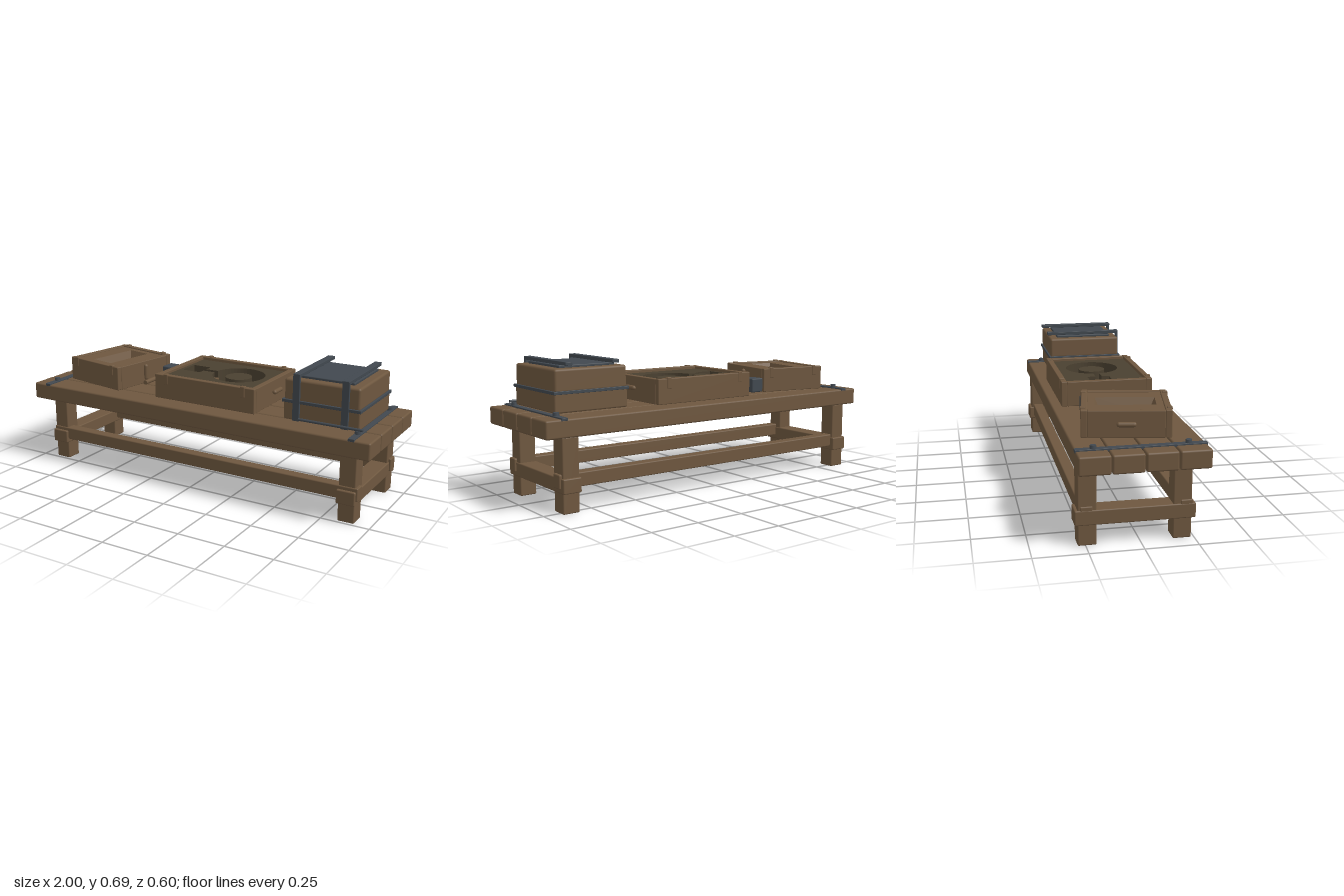
import * as THREE from 'three';
import { RoundedBoxGeometry } from 'three/addons/geometries/RoundedBoxGeometry.js';

const mat = (name, color, side = THREE.FrontSide) => {
  const m = new THREE.MeshStandardMaterial({ color, side });
  m.name = name;
  return m;
};

export function createModel() {
  const wood = mat('wood', 0x6e573f);
  const pocketWood = wood;
  const sand = mat('packed sand', 0x4a4030);
  const iron = mat('iron', 0x41484f);
  const model = new THREE.Group();
  model.name = 'castingBench';

  const add = (parent, name, geo, m, x = 0, y = 0, z = 0) => {
    const mesh = new THREE.Mesh(geo, m);
    mesh.name = name;
    mesh.position.set(x, y, z);
    parent.add(mesh);
    return mesh;
  };
  // box from its extents, with softened edges
  const box = (parent, name, m, [x0, x1], [y0, y1], [z0, z1], r = 0.006) => {
    const w = x1 - x0, h = y1 - y0, d = z1 - z0;
    const geo = new RoundedBoxGeometry(w, h, d, 2, Math.min(r, Math.min(w, h, d) * 0.3));
    return add(parent, name, geo, m, (x0 + x1) / 2, (y0 + y1) / 2, (z0 + z1) / 2);
  };
  const group = (name, x = 0, y = 0, z = 0) => {
    const g = new THREE.Group();
    g.name = name;
    g.position.set(x, y, z);
    model.add(g);
    return g;
  };
  const handle = (parent, x, y, z, axis, length = 0.09, r = 0.012) => {
    const h = add(parent, 'handle', new THREE.CapsuleGeometry(r, length - 2 * r, 4, 10), wood, x, y, z);
    if (axis === 'z') h.rotation.x = Math.PI / 2;
  };
  // flat slab with holes, lying between y0 and y1
  const slab = (parent, name, m, outline, holes, y0, y1) => {
    const shape = new THREE.Shape(outline);
    shape.holes = holes.map((h) => new THREE.Path(h));
    const geo = new THREE.ExtrudeGeometry(shape, { depth: y1 - y0, bevelEnabled: false });
    geo.rotateX(-Math.PI / 2);
    return add(parent, name, geo, m, 0, y0, 0);
  };
  const rect = (x0, x1, y0, y1) =>
    [[x0, y0], [x1, y0], [x1, y1], [x0, y1]].map((p) => new THREE.Vector2(...p));

  // bench
  const bench = group('bench');
  for (const z of [0.227, 0.077, -0.073, -0.222])
    box(bench, 'plank', wood, [-1, 1], [0.355, 0.443], [z - 0.0725, z + 0.0725], 0.009);
  for (const s of [-1, 1]) {
    const x = s * 0.873;
    for (const z of [0.193, -0.243])
      box(bench, 'leg', wood, [x - 0.043, x + 0.043], [0, 0.358], [z - 0.043, z + 0.043]);
    box(bench, 'crossStretcher', wood, [x - 0.048, x + 0.048], [0.097, 0.168], [-0.3, 0.255]);
    // iron strap with bolts across each end
    box(bench, 'endStrap', iron, [s * 0.905 - 0.016, s * 0.905 + 0.016], [0.436, 0.45], [-0.297, 0.3], 0.002);
    for (const z of [0.216, -0.214])
      add(bench, 'bolt', new THREE.CylinderGeometry(0.014, 0.016, 0.017, 12), iron, s * 0.905, 0.457, z);
  }
  for (const z of [0.212, -0.247])
    box(bench, 'longStretcher', wood, [-0.92, 0.93], [0.118, 0.186], [z - 0.029, z + 0.029]);

  // four-walled mould frame, standing on y = 0 of its group
  const frame = (g, hw, hd, studX) => {
    const H = 0.128, t = 0.03;
    for (const s of [-1, 1]) {
      const z = s * (hd - t / 2), x = s * (hw - t / 2);
      box(g, 'frameRail', wood, [-hw, hw], [0, H], [z - t / 2, z + t / 2], 0.004);
      box(g, 'frameSide', wood, [x - t / 2, x + t / 2], [0, H - 0.002], [-hd + t, hd - t], 0.003);
      for (const sx of [-1, 1])
        box(g, 'clip', wood, [sx * studX - 0.012, sx * studX + 0.012], [H - 0.05, H + 0.005],
          [s * hd - (s > 0 ? 0.022 : 0.003), s * hd + (s > 0 ? 0.003 : 0.022)], 0.003);
    }
  };

  // turned mould with a tapered ingot pocket
  const ingot = group('ingotMould', -0.62, 0.455, -0.01);
  ingot.rotation.y = -0.18;
  frame(ingot, 0.19, 0.205, 0.14);
  const px = 0.068, pz = 0.142;
  slab(ingot, 'mouldTop', wood, rect(-0.162, 0.162, -0.177, 0.177), [rect(-px, px, -pz, pz)], 0.01, 0.121);
  const top = 0.121, floor = 0.05;
  const V = (sx, sz, low) => [sx * (low ? 0.036 : px), low ? floor : top, sz * (low ? 0.108 : pz)];
  const corners = [[-1, -1], [1, -1], [1, 1], [-1, 1]];
  const pos = [];
  corners.forEach(([ax, az], i) => {
    const [bx, bz] = corners[(i + 1) % 4];
    const a = V(ax, az), b = V(bx, bz), c = V(bx, bz, true), d = V(ax, az, true);
    pos.push(...a, ...d, ...c, ...a, ...c, ...b);
  });
  const walls = new THREE.BufferGeometry();
  walls.setAttribute('position', new THREE.Float32BufferAttribute(pos, 3));
  walls.computeVertexNormals();
  const inward = mat('pocket wood', 0x6e573f, THREE.DoubleSide);
  add(ingot, 'pocketWalls', walls, inward);
  box(ingot, 'pocketFloor', pocketWood, [-0.037, 0.037], [floor - 0.01, floor], [-0.109, 0.109], 0.001);
  handle(ingot, 0.2, 0.066, 0, 'y');
  handle(ingot, -0.2, 0.066, 0, 'z');

  // large sand mould with ring cavity, channel and pouring pocket
  const mould = group('sandMould', 0.065, 0.455, -0.015);
  frame(mould, 0.295, 0.235, 0.228);
  const cx = 0.07, cy = 0.015, R = 0.14, half = 0.016;
  const a0 = Math.asin(half / R);
  const cavity = rect(-0.245, -0.14, -0.04, 0.075);
  const path = [cavity[0], cavity[1], new THREE.Vector2(-0.14, cy - half)];
  for (let i = 0; i <= 48; i++) {
    const a = Math.PI + a0 + (i / 48) * (2 * Math.PI - 2 * a0);
    path.push(new THREE.Vector2(cx + R * Math.cos(a), cy + R * Math.sin(a)));
  }
  path.push(new THREE.Vector2(-0.14, cy + half), cavity[2], cavity[3]);
  slab(mould, 'sandBed', sand, rect(-0.266, 0.266, -0.206, 0.206), [path], 0.01, 0.112);
  box(mould, 'cavityFloor', wood, [-0.26, 0.26], [0.005, 0.04], [-0.2, 0.2], 0.001);
  slab(mould, 'pocketLedge', sand, cavity,
    [rect(-0.232, -0.152, -0.026, 0.06)], 0.04, 0.06);
  box(mould, 'channelFloor', wood, [-0.19, -0.06], [0.04, 0.075], [-cy - half, -cy + half], 0.001);
  add(mould, 'core', new THREE.CylinderGeometry(0.07, 0.07, 0.07, 40), sand, cx, 0.07, -cy);
  for (const s of [-1, 1]) handle(mould, s * 0.307, 0.067, 0, 'z');

  // closed two-part mould bound with iron
  const bound = group('boundMould');
  box(bound, 'lowerHalf', wood, [0.51, 0.905], [0.455, 0.55], [-0.203, 0.197], 0.008);
  box(bound, 'upperHalf', wood, [0.513, 0.902], [0.55, 0.66], [-0.203, 0.197], 0.012);
  box(bound, 'topPlate', iron, [0.555, 0.855], [0.658, 0.672], [-0.158, 0.153], 0.004);
  for (const x of [0.58, 0.832]) {
    box(bound, 'topStrap', iron, [x - 0.018, x + 0.018], [0.674, 0.691], [-0.213, 0.207], 0.002);
    box(bound, 'frontStrap', iron, [x - 0.018, x + 0.018], [0.455, 0.69], [0.194, 0.208], 0.002);
  }
  for (const z of [-0.205, 0.2])
    box(bound, 'band', iron, [0.504, 0.911], [0.543, 0.558], [z - 0.006, z + 0.006], 0.002);
  for (const x of [0.51, 0.905])
    box(bound, 'band', iron, [x - 0.006, x + 0.006], [0.543, 0.558], [-0.211, 0.206], 0.002);
  const rod = add(bound, 'ironRod', new THREE.CylinderGeometry(0.007, 0.007, 0.33, 12), iron, 0.765, 0.47, 0.217);
  rod.rotation.z = Math.PI / 2;

  // mallet lying on the bench
  const mallet = group('mallet');
  box(mallet, 'malletHead', iron, [-0.392, -0.316], [0.457, 0.533], [-0.175, -0.09], 0.007);
  const grip = add(mallet, 'malletHandle', new THREE.CylinderGeometry(0.012, 0.012, 0.25, 14), wood, -0.356, 0.495, 0.006);
  grip.rotation.x = Math.PI / 2;

  return model;
}
